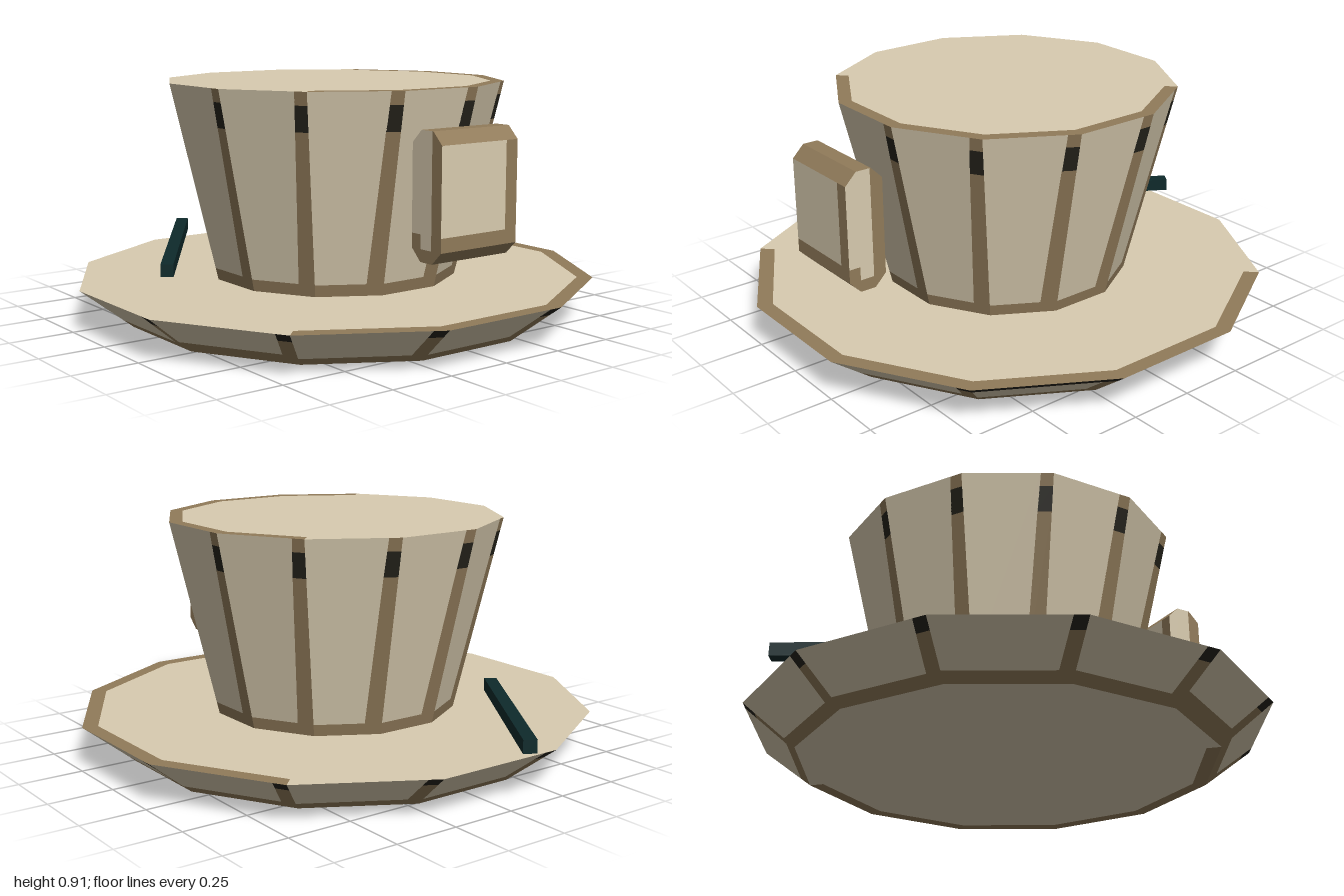
import * as THREE from 'three';

const SIDES = 12;
const CX = 0.025; // cup and saucer axis

const materials = {
  cream: new THREE.MeshStandardMaterial({ name: 'cream', color: 0xd9ccb0 }),
  brown: new THREE.MeshStandardMaterial({ name: 'brown', color: 0x917b5a }),
  dark: new THREE.MeshStandardMaterial({ name: 'dark', color: 0x25231b }),
  teal: new THREE.MeshStandardMaterial({ name: 'darkTeal', color: 0x0e2a2b }),
};

// Collects flat faces by colour and turns them into one mesh per colour
function makePart(name) {
  const faces = {};
  const tri = (color, ...pts) => {
    faces[color] ??= [];
    pts.forEach((p) => faces[color].push(p.x, p.y, p.z));
  };
  const quad = (color, a, b, c, d) => {
    tri(color, a, b, c);
    tri(color, a, c, d);
  };
  const build = () => {
    const group = new THREE.Group();
    group.name = name;
    for (const [color, positions] of Object.entries(faces)) {
      const geo = new THREE.BufferGeometry();
      geo.setAttribute('position', new THREE.Float32BufferAttribute(positions, 3));
      geo.computeVertexNormals();
      const mesh = new THREE.Mesh(geo, materials[color]);
      mesh.name = `${name}_${color}`;
      group.add(mesh);
    }
    return group;
  };
  return { tri, quad, build };
}

// Splits a four-cornered face into coloured patches.
// Each patch: [color, u0, u1, v0, v1], where u may be [bottom, top].
function patchFace(part, bl, br, tr, tl, patches) {
  const at = (u, v) => {
    const [b, t] = Array.isArray(u) ? u : [u, u];
    const s = b + (t - b) * v;
    const low = bl.clone().lerp(br, s);
    return low.lerp(tl.clone().lerp(tr, s), v);
  };
  for (const [color, u0, u1, v0, v1] of patches) {
    part.quad(color, at(u0, v0), at(u1, v0), at(u1, v1), at(u0, v1));
  }
}

const ringPoint = (r, y, degrees) => {
  const a = THREE.MathUtils.degToRad(degrees);
  return new THREE.Vector3(CX + r * Math.cos(a), y, r * Math.sin(a));
};

// Flat cap with a brown border along the back and +x half
function addCap(part, r, y, border, up) {
  const centre = new THREE.Vector3(CX, y, 0);
  const bordered = [8, 9, 10, 11, 0, 1];
  for (let k = 0; k < SIDES; k++) {
    const a0 = k * 30 + (up ? 15 : -15);
    const a1 = k * 30 - (up ? 15 : -15);
    const inner = bordered.includes(k) ? r - border : r;
    part.tri('cream', centre, ringPoint(inner, y, a0), ringPoint(inner, y, a1));
    if (inner < r) {
      part.quad('brown', ringPoint(inner, y, a0), ringPoint(r, y, a0),
        ringPoint(r, y, a1), ringPoint(inner, y, a1));
    }
  }
}

// Tapered twelve-sided wall; patches are chosen per side
function addWall(part, r0, y0, r1, y1, patchesFor) {
  for (let k = 0; k < SIDES; k++) {
    const left = k * 30 + 15;
    const right = k * 30 - 15;
    patchFace(part, ringPoint(r0, y0, left), ringPoint(r0, y0, right),
      ringPoint(r1, y1, right), ringPoint(r1, y1, left), patchesFor(k));
  }
}

function createSaucer() {
  const part = makePart('saucer');
  addWall(part, 0.81, 0, 1.01, 0.155, (k) => {
    const base = k === 2 || k === 11 ? 0.3 : 0.2;
    const edge = [0.87, 0.9];
    const top = k === 10 ? 0.8 : 1;
    const patches = [
      ['brown', 0, 1, 0, base],
      ['cream', 0, edge, base, top],
      ['brown', edge, 1, base, 0.78],
      ['dark', edge, 1, 0.78, 1],
    ];
    // One side carries a dark band along its whole rim
    if (top < 1) patches.push(['dark', 0, edge, top, 1]);
    return patches;
  });
  addCap(part, 1.01, 0.155, 0.06, true);
  addCap(part, 0.81, 0, 0.055, false);
  return part.build();
}

function createCup() {
  const part = makePart('cup');
  const edge = [0.74, 0.86];
  addWall(part, 0.476, 0.155, 0.655, 0.91, () => [
    ['brown', 0, 1, 0, 0.06],
    ['cream', 0, edge, 0.06, 1],
    ['brown', edge, 1, 0.06, 0.81],
    ['dark', edge, 1, 0.81, 0.935],
    ['brown', edge, 1, 0.935, 1],
  ]);
  addCap(part, 0.655, 0.91, 0.05, true);
  return part.build();
}

// Chamfered block standing beside the cup
function createHandle() {
  const part = makePart('handle');
  const [x0, x1, y0, y1, c, z] = [0.705, 0.855, 0.33, 0.785, 0.045, 0.175];
  const outline = [
    [x1, y0 + c], [x1, y1 - c], [x1 - c, y1], [x0 + c, y1],
    [x0, y1 - c], [x0, y0 + c], [x0 + c, y0], [x1 - c, y0],
  ];
  const P = ([x, y], depth) => new THREE.Vector3(x, y, depth);
  const panel = [
    ['brown', 0, 1, 0, 0.14],
    ['cream', 0, 0.85, 0.14, 1],
    ['brown', 0.85, 1, 0.14, 1],
  ];
  outline.forEach((p, i) => {
    const q = outline[(i + 1) % 8];
    if (i === 0) patchFace(part, P(p, z), P(p, -z), P(q, -z), P(q, z), panel);
    else if (i === 4) patchFace(part, P(q, -z), P(q, z), P(p, z), P(p, -z), panel);
    else part.quad('brown', P(p, z), P(p, -z), P(q, -z), P(q, z));
  });
  // Octagonal ends, each with a brown strip on its right
  for (const s of [1, -1]) {
    const mid = (x0 + x1) / 2;
    const h = (x1 - x0) / 2;
    const E = (x, y) => new THREE.Vector3(mid + s * x, y, s * z);
    patchFace(part, E(c - h, y0), E(h - c, y0), E(h, y0 + c), E(-h, y0 + c), [['brown', 0, 1, 0, 1]]);
    patchFace(part, E(-h, y0 + c), E(h, y0 + c), E(h, y1 - c), E(-h, y1 - c), [
      ['brown', 0, 0.3, 0, 0.14],
      ['cream', 0, 0.3, 0.14, 1],
      ['cream', 0.3, 0.67, 0, 1],
      ['brown', 0.67, 1, 0, 1],
    ]);
    patchFace(part, E(-h, y1 - c), E(h, y1 - c), E(h - c, y1), E(c - h, y1), [
      ['cream', 0, [0.67, 0.92], 0, 1],
      ['brown', [0.67, 0.92], 1, 0, 1],
    ]);
  }
  return part.build();
}

// Thin square rod resting on the saucer
function createSpoon() {
  const from = new THREE.Vector3(-0.982, 0.206, 0.1);
  const to = new THREE.Vector3(-0.235, 0.184, 0.607);
  const spoon = new THREE.Mesh(
    new THREE.BoxGeometry(0.05, 0.05, from.distanceTo(to)), materials.teal);
  spoon.name = 'spoon';
  spoon.position.copy(from).lerp(to, 0.5);
  spoon.lookAt(to);
  return spoon;
}

export function createModel() {
  const model = new THREE.Group();
  model.name = 'cupAndSaucer';
  model.add(createSaucer(), createCup(), createHandle(), createSpoon());
  return model;
}
